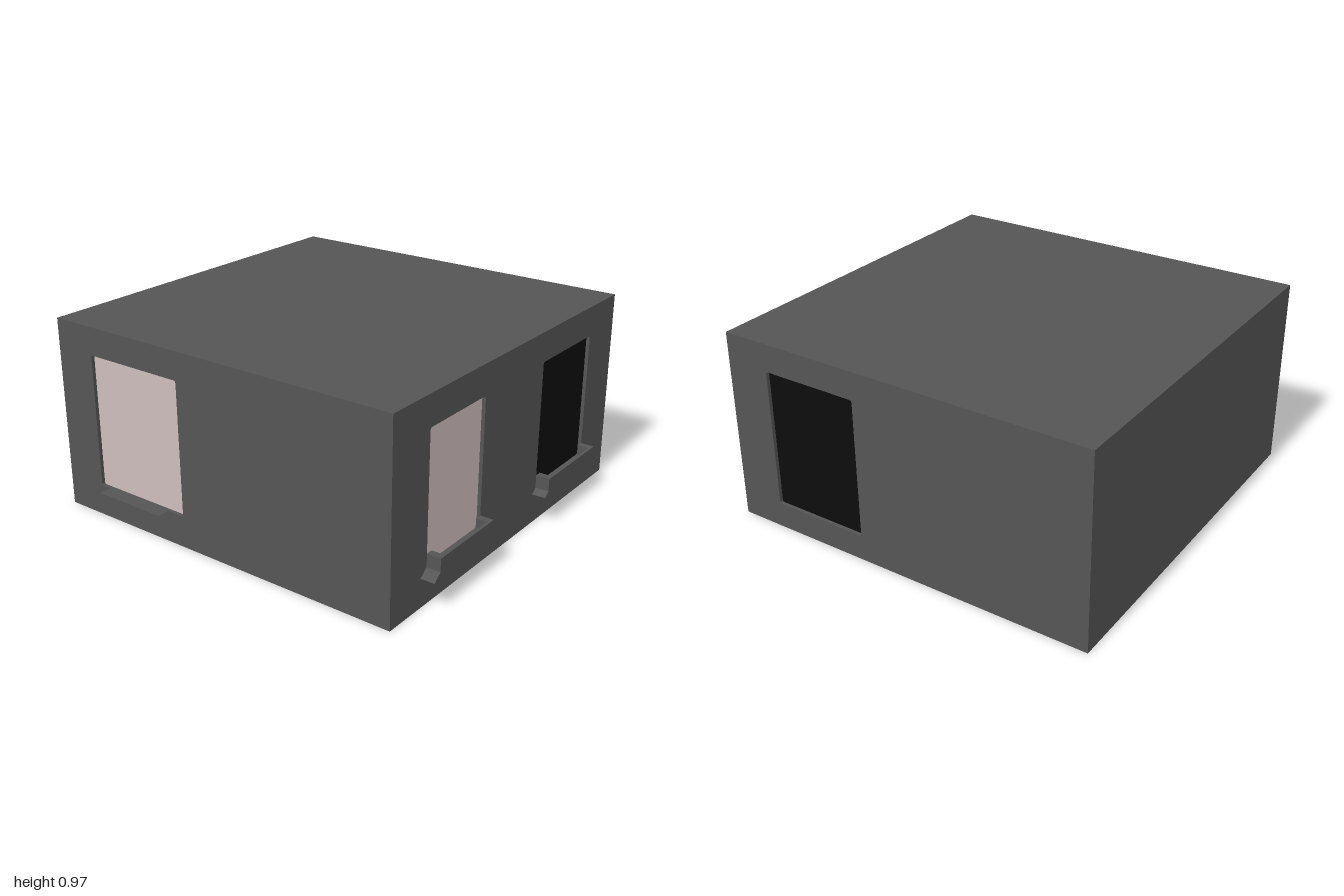
import * as THREE from 'three';

const T = 0.02; // wall skin thickness, i.e. window recess depth
const H = 0.97; // building height

const mat = (name, color) => {
  const m = new THREE.MeshStandardMaterial({ color });
  m.name = name;
  return m;
};

// rectangle with slightly rounded corners
function roundedRect(path, x0, y0, x1, y1, r = 0.012) {
  path.moveTo(x0 + r, y0);
  path.lineTo(x1 - r, y0);
  path.quadraticCurveTo(x1, y0, x1, y0 + r);
  path.lineTo(x1, y1 - r);
  path.quadraticCurveTo(x1, y1, x1 - r, y1);
  path.lineTo(x0 + r, y1);
  path.quadraticCurveTo(x0, y1, x0, y1 - r);
  path.lineTo(x0, y0 + r);
  path.quadraticCurveTo(x0, y0, x0 + r, y0);
  return path;
}

const polygon = (pts) => new THREE.Shape(pts.map(([x, y]) => new THREE.Vector2(x, y)));
const extrude = (shape, depth) =>
  new THREE.ExtrudeGeometry(shape, { depth, bevelEnabled: false, curveSegments: 3 });

export function createModel() {
  const model = new THREE.Group();
  model.name = 'building';
  const concrete = mat('concrete grey', 0x555555);
  const dark = mat('dark glass', 0x0d0d0d);
  const pale = mat('pale pink glass', 0xcfbdbd);

  const add = (parent, name, geometry, material) => {
    const mesh = new THREE.Mesh(geometry, material);
    mesh.name = name;
    parent.add(mesh);
    return mesh;
  };

  // solid core behind the wall skins
  add(model, 'buildingCore', new THREE.BoxGeometry(1.89, H, 1.91), concrete)
    .position.set(0.035, H / 2, -0.045);

  // wall skin with window openings; its outer face lies at local z = 0
  function facade(name, x0, x1, windows) {
    const group = new THREE.Group();
    group.name = name;
    const shape = polygon([[x0, 0], [x1, 0], [x1, H], [x0, H]]);
    for (const { rect: [a, b, c, d], glass } of windows) {
      shape.holes.push(roundedRect(new THREE.Path(), a, b, c, d));
      const pane = roundedRect(new THREE.Shape(), a, b, c, d);
      add(group, 'windowPane', extrude(pane, 0.002), glass).position.z = -T;
    }
    add(group, 'wall', extrude(shape, T), concrete).position.z = -T;
    model.add(group);
    return group;
  }

  const front = facade('frontFacade', -0.93, 1, [
    { rect: [-0.665, 0.18, -0.235, 0.82], glass: pale },
    { rect: [0.28, 0.18, 0.75, 0.82], glass: dark },
  ]);
  front.position.z = 0.93;

  // local x runs towards -z on this side
  const left = facade('leftFacade', -0.91, 1, [{ rect: [-0.7, 0.13, -0.2, 0.83], glass: dark }]);
  left.rotation.y = Math.PI / 2;
  left.position.x = 1;

  // local x runs towards +z on this side
  const right = facade('rightFacade', -1, 0.91, [{ rect: [-0.78, 0.16, -0.235, 0.83], glass: pale }]);
  right.rotation.y = -Math.PI / 2;
  right.position.x = -0.93;

  // flared sill topped by a low U-shaped rim
  function sillBox(x0, x1, flare, bottom) {
    const y = 0.18, top = 0.245, w = 0.036, out = 0.07, inner = 0.055;
    const group = new THREE.Group();
    group.name = 'windowSillBox';
    add(group, 'sillBase', extrude(polygon([
      [x0 - flare, bottom], [x1 + flare, bottom], [x1, y], [x0, y],
    ]), out), concrete);
    const rim = extrude(polygon([
      [x0, 0], [x0 + w, 0], [x0 + w, -inner], [x1 - w, -inner],
      [x1 - w, 0], [x1, 0], [x1, -out], [x0, -out],
    ]), top - y);
    rim.rotateX(-Math.PI / 2);
    add(group, 'sillRim', rim, concrete).position.y = y;
    front.add(group);
  }
  sillBox(-0.665, -0.235, 0.045, 0.145);
  sillBox(0.28, 0.75, 0.03, 0.155);

  // plain tapered sill on the side wall
  add(right, 'sideSill', extrude(polygon([
    [-0.74, 0.135], [-0.3, 0.135], [-0.325, 0.165], [-0.715, 0.165],
  ]), 0.07), concrete);

  return model;
}
